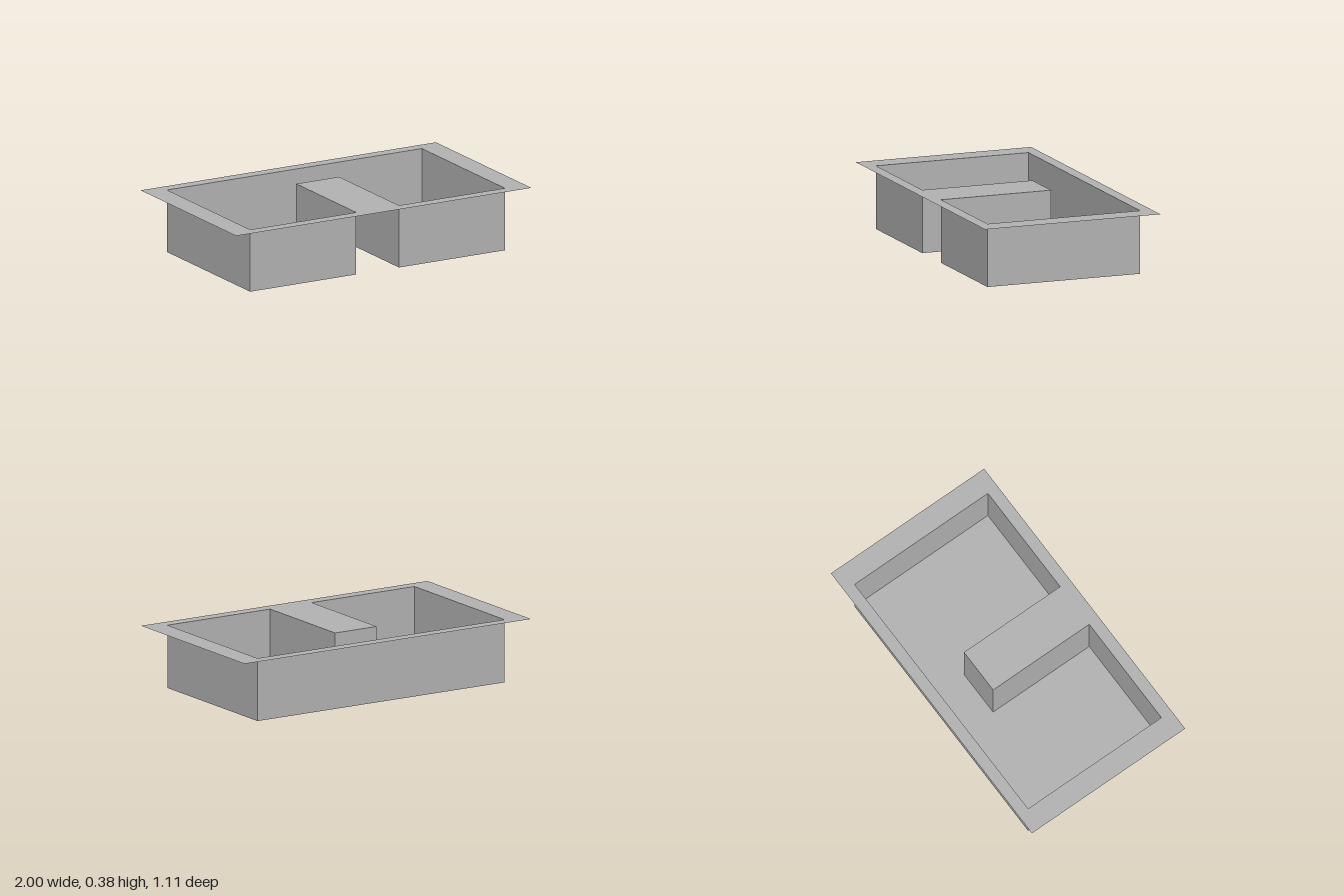
import * as THREE from 'three';

const HEIGHT = 0.378;
// U-shaped basin outline as [x, z], running round from the front left corner
const OUTLINE = [
  [-0.863, 0.482], [-0.145, 0.482], [-0.145, -0.213], [0.145, -0.213],
  [0.145, 0.482], [0.863, 0.482], [0.863, -0.482], [-0.863, -0.482],
];
const RIM = [[-1, 0.554], [1, 0.554], [1, -0.554], [-1, -0.554]];

const toPoints = (list) => list.map(([x, z]) => new THREE.Vector2(x, -z));

export function createModel() {
  const group = new THREE.Group();
  const grey = new THREE.MeshStandardMaterial({ color: 0xb2b2b2, side: THREE.DoubleSide });
  grey.name = 'grey';

  const add = (name, geometry, parent = group) => {
    const mesh = new THREE.Mesh(geometry, grey);
    mesh.name = name;
    parent.add(mesh);
    return mesh;
  };

  // Flat horizontal sheet at height y
  const sheet = (name, shape, y) =>
    add(name, new THREE.ShapeGeometry(shape).rotateX(-Math.PI / 2).translate(0, y, 0));

  // Basin floor
  sheet('floor', new THREE.Shape(toPoints(OUTLINE)), 0);

  // Overhanging rim, including the tongue over the front recess
  const rimShape = new THREE.Shape(toPoints(RIM));
  rimShape.holes.push(new THREE.Path(toPoints(OUTLINE)));
  sheet('rim', rimShape, HEIGHT);

  // One upright panel per outline edge, facing outward
  const walls = new THREE.Group();
  walls.name = 'walls';
  group.add(walls);
  OUTLINE.forEach(([x0, z0], i) => {
    const [x1, z1] = OUTLINE[(i + 1) % OUTLINE.length];
    const panel = new THREE.PlaneGeometry(Math.hypot(x1 - x0, z1 - z0), HEIGHT);
    const wall = add('wall', panel, walls);
    wall.position.set((x0 + x1) / 2, HEIGHT / 2, (z0 + z1) / 2);
    wall.rotation.y = Math.atan2(z0 - z1, x1 - x0);
  });

  return group;
}
